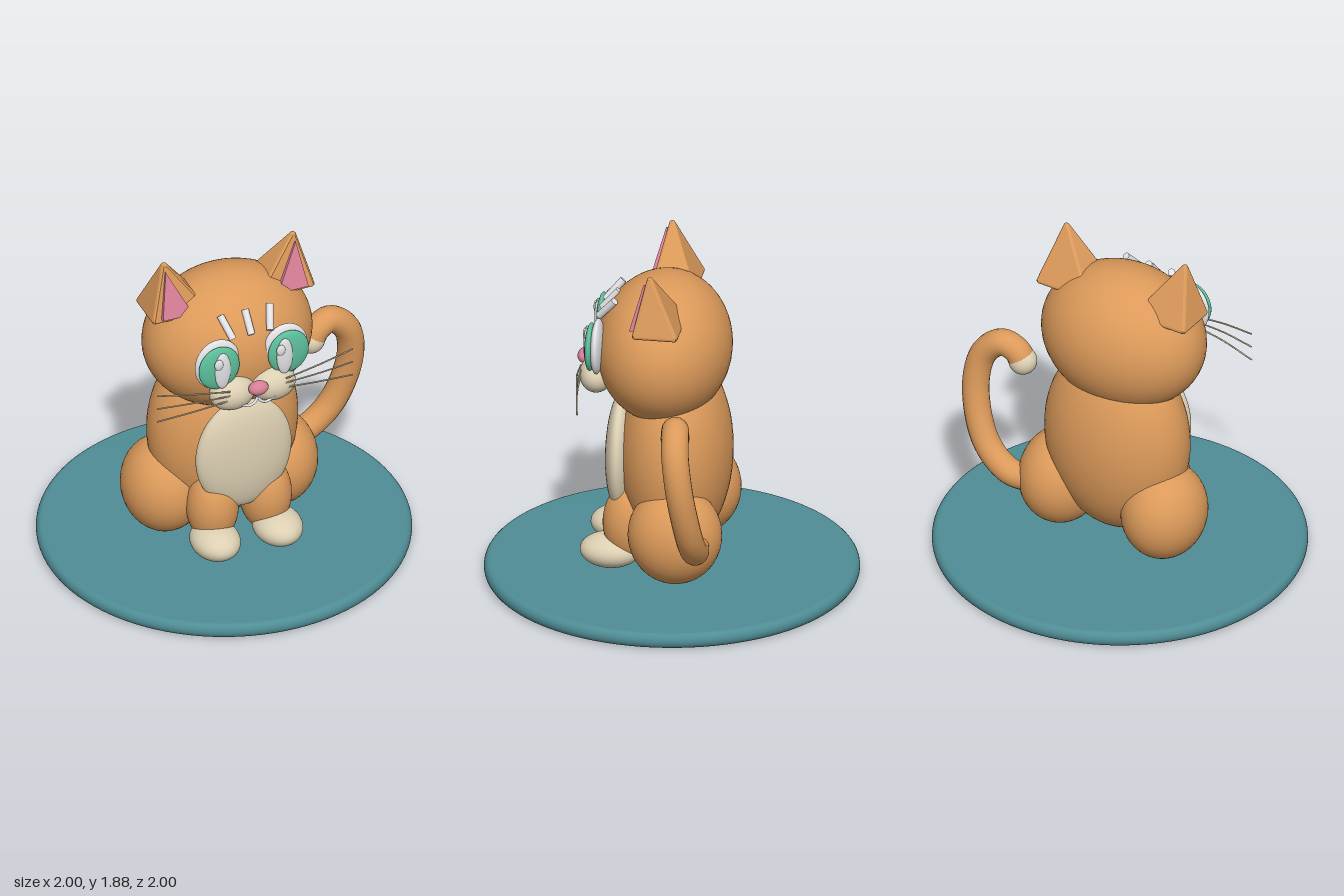
import * as THREE from 'three';
import { ConvexGeometry } from 'three/addons/geometries/ConvexGeometry.js';

const paint = (name, color) => {
  const m = new THREE.MeshStandardMaterial({ color });
  m.name = name;
  return m;
};

export function createModel() {
  const orange = paint('orange fur', 0xdc9a5a);
  const cream = paint('cream fur', 0xdccfb2);
  const white = paint('white', 0xe2e2e6);
  const pink = paint('pink', 0xd87f98);
  const green = paint('green iris', 0x5cbf9c);
  const teal = paint('teal base', 0x4f8d95);

  const model = new THREE.Group();
  model.name = 'sittingCat';
  const V = (x, y, z) => new THREE.Vector3(x, y, z);

  const add = (name, geometry, material) => {
    const mesh = new THREE.Mesh(geometry, material);
    mesh.name = name;
    model.add(mesh);
    return mesh;
  };
  const ball = (name, material, center, radii, seg = 40) => {
    const mesh = add(name, new THREE.SphereGeometry(1, seg, Math.round(seg * 0.7)), material);
    mesh.position.set(...center);
    mesh.scale.set(...radii);
    return mesh;
  };
  const tube = (name, material, points, radius, steps = 16, sides = 10) =>
    add(name, new THREE.TubeGeometry(new THREE.CatmullRomCurve3(points), steps, radius, sides), material);

  // Round base with a softened rim
  const rim = [new THREE.Vector2(0, 0)];
  for (let i = 0; i <= 12; i++) {
    const a = -Math.PI / 2 + (Math.PI * i) / 12;
    rim.push(new THREE.Vector2(0.965 + 0.035 * Math.cos(a), 0.0425 + 0.0425 * Math.sin(a)));
  }
  rim.push(new THREE.Vector2(0, 0.085));
  add('base', new THREE.LatheGeometry(rim, 96), teal);

  // Torso, belly patch and head
  ball('body', orange, [0, 0.72, -0.025], [0.42, 0.56, 0.3], 56);
  ball('belly', cream, [0, 0.697, 0.265], [0.275, 0.343, 0.085], 48);
  ball('head', orange, [0, 1.325, 0.04], [0.47, 0.4, 0.36], 56);

  // Solid with softened corners: hull of small balls
  const softHull = (corners, r) => {
    const points = [];
    const p = new THREE.SphereGeometry(r, 10, 8).attributes.position;
    for (const c of corners)
      for (let i = 0; i < p.count; i++) points.push(new THREE.Vector3().fromBufferAttribute(p, i).add(c));
    return new ConvexGeometry(points);
  };

  for (const s of [1, -1]) {
    const side = s > 0 ? 'left' : 'right';

    // Ear pyramid and its pink inner plate
    add(side + 'Ear', softHull([
      V(s * 0.16, 1.57, -0.085), V(s * 0.45, 1.57, -0.085),
      V(s * 0.45, 1.57, 0.125), V(s * 0.16, 1.57, 0.125),
      V(s * 0.372, 1.865, 0.058),
    ], 0.018), orange);
    add(side + 'InnerEar', new ConvexGeometry([0, 0.03].flatMap((d) => [
      V(s * 0.375, 1.84, 0.092 - d), V(s * 0.245, 1.583, 0.163 - d), V(s * 0.42, 1.583, 0.163 - d),
    ])), pink);

    // Layered eye
    ball(side + 'EyeWhite', white, [s * 0.195, 1.38, 0.37], [0.13, 0.153, 0.036]);
    ball(side + 'Iris', green, [s * 0.2, 1.378, 0.405], [0.117, 0.132, 0.03]);
    const px = s > 0 ? 0.168 : -0.19;
    ball(side + 'Pupil', white, [px, 1.372, 0.43], [0.046, 0.112, 0.018], 28);
    ball(side + 'EyeHighlight', white, [px - 0.028, 1.425, 0.445], [0.025, 0.033, 0.012], 20);

    // Muzzle cheek, half of the smile and whiskers
    ball(side + 'Muzzle', cream, [s * 0.118, 1.188, 0.385], [0.127, 0.098, 0.092]);
    tube(side + 'Mouth', white, [
      V(0, 1.17, 0.458), V(s * 0.018, 1.145, 0.463), V(s * 0.05, 1.13, 0.46),
      V(s * 0.085, 1.14, 0.455), V(s * 0.103, 1.16, 0.468),
    ], 0.008);
    for (const k of [1, 0, -1])
      tube(side + 'Whisker', cream, [
        V(s * 0.16, 1.222 + k * 0.028, 0.464),
        V(s * 0.36, 1.225 + k * 0.055, 0.453),
        V(s * 0.565, 1.22 + k * 0.083, 0.42),
      ], 0.0045, 12, 6);

    // Haunch, front leg and paw
    ball(side + 'Haunch', orange, [s * 0.322, 0.37, -0.068], [0.227, 0.27, 0.252]);
    ball(side + 'FrontLeg', orange, [s * 0.153, 0.35, 0.2], [0.141, 0.22, 0.147]);
    ball(side + 'Paw', cream, [s * 0.18, 0.195, 0.302], [0.132, 0.093, 0.164]);
  }

  // Nose
  ball('nose', pink, [0, 1.235, 0.468], [0.056, 0.04, 0.04], 28);

  // Three forehead stripes with flat ends
  for (const k of [-1, 0, 1]) {
    const a = V(k * 0.143, 1.625, 0.285), b = V(k * 0.107, 1.52, 0.375);
    const stripe = add('foreheadStripe', new THREE.CylinderGeometry(0.02, 0.02, a.distanceTo(b), 16), white);
    stripe.position.copy(a).lerp(b, 0.5);
    stripe.quaternion.setFromUnitVectors(V(0, 1, 0), a.clone().sub(b).normalize());
  }

  // Curled tail with a cream tip
  tube('tail', orange, [
    V(0.4, 0.37, -0.19), V(0.56, 0.385, -0.215), V(0.71, 0.52, -0.21), V(0.8, 0.82, -0.17),
    V(0.765, 1.03, -0.14), V(0.66, 1.122, -0.125), V(0.58, 1.09, -0.11), V(0.55, 1.04, -0.105),
  ], 0.073, 64, 20);
  ball('tailTip', cream, [0.545, 1.035, -0.105], [0.077, 0.077, 0.077], 28);

  return model;
}
